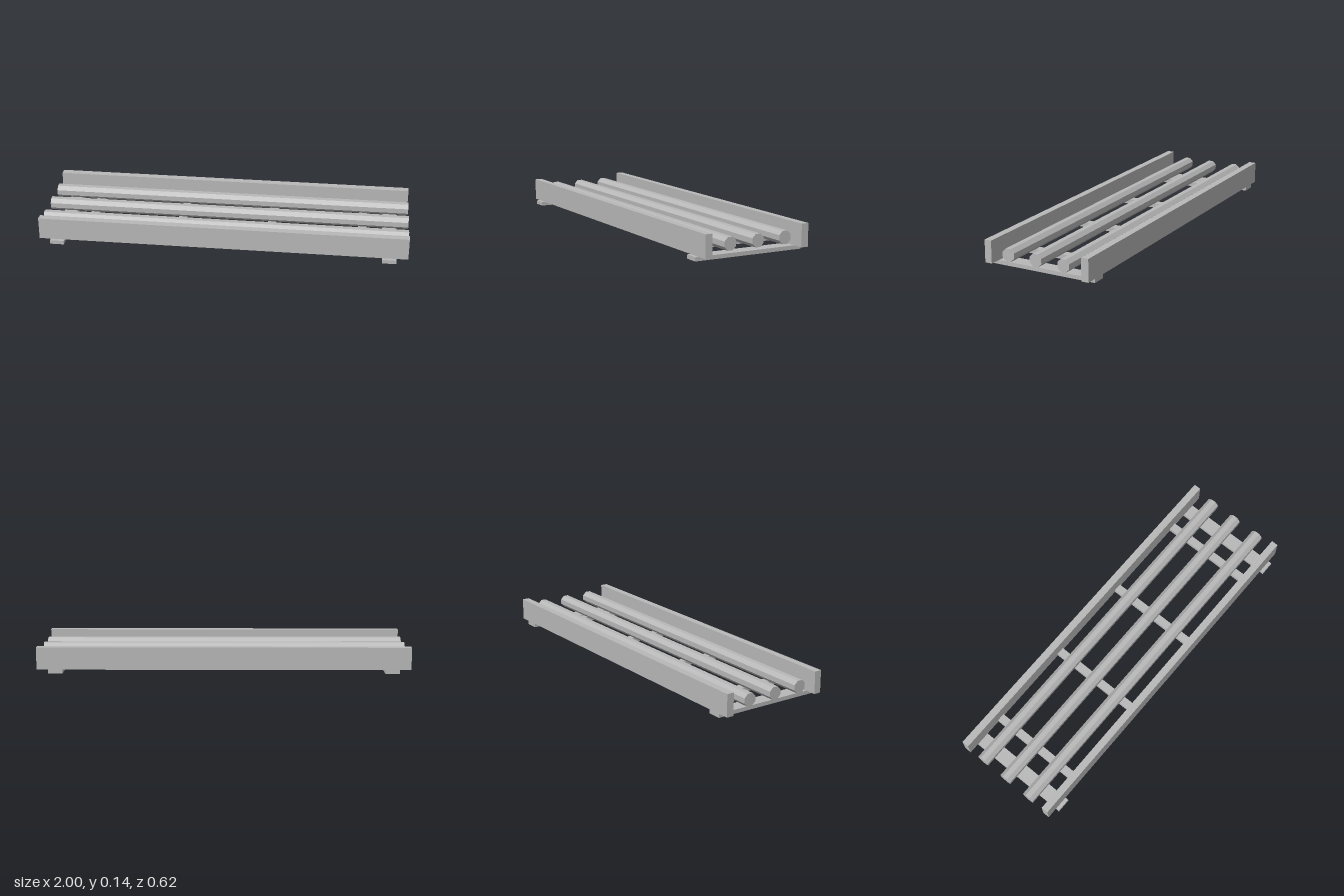
import * as THREE from 'three';

export function createModel() {
  const group = new THREE.Group();
  const grey = new THREE.MeshStandardMaterial({ color: 0xb8b8b8, flatShading: true });
  grey.name = 'plain grey';

  // Box given by its limits on each axis
  const box = (name, x0, x1, y0, y1, z0, z1) => {
    const mesh = new THREE.Mesh(new THREE.BoxGeometry(x1 - x0, y1 - y0, z1 - z0), grey);
    mesh.position.set((x0 + x1) / 2, (y0 + y1) / 2, (z0 + z1) / 2);
    mesh.name = name;
    group.add(mesh);
  };

  // Long side rails
  box('frontRail', -1, 1, 0.021, 0.142, 0.252, 0.291);
  box('backRail', -1, 1, 0.021, 0.142, -0.31, -0.27);

  // Flat sleepers under both ends
  for (const x of [-0.9, 0.9]) box('footSleeper', x - 0.0385, x + 0.0385, 0, 0.021, -0.31, 0.31);

  // Thin crossbars between the rails
  for (const x of [-0.75, -0.25, 0.25, 0.75]) {
    box('crossbar', x - 0.0225, x + 0.0225, 0.021, 0.046, -0.27, 0.252);
  }

  // Eight-sided bars lying lengthwise, flat side up
  const barRadius = 0.0335 / Math.cos(Math.PI / 8);
  const barGeometry = new THREE.CylinderGeometry(barRadius, barRadius, 2, 8, 1, false, Math.PI / 8);
  barGeometry.rotateZ(Math.PI / 2);
  for (const z of [-0.169, -0.0095, 0.1505]) {
    const bar = new THREE.Mesh(barGeometry, grey);
    bar.position.set(0, 0.0825, z);
    bar.name = 'lengthwiseBar';
    group.add(bar);
  }

  return group;
}
